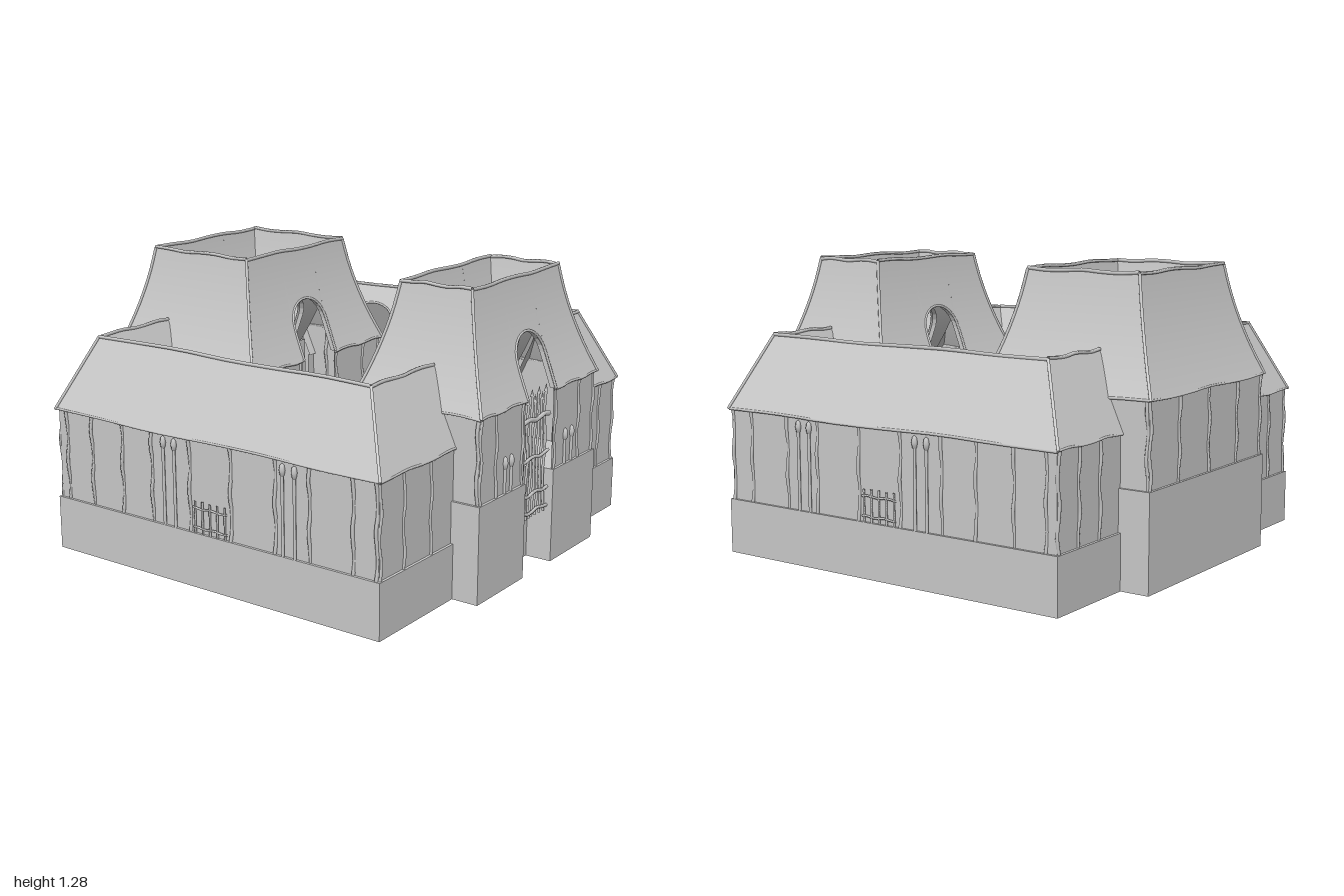
import * as THREE from 'three';
import { ParametricGeometry } from 'three/addons/geometries/ParametricGeometry.js';

const grey = new THREE.MeshStandardMaterial({ color: 0xcccccc, side: THREE.DoubleSide });
const V = (x, y, z) => new THREE.Vector3(x, y, z);
const FLOOR = 0.24, PLINTH = 0.42;

function add(parent, geometry, name, x = 0, y = 0, z = 0) {
  const mesh = new THREE.Mesh(geometry, grey);
  mesh.name = name;
  mesh.position.set(x, y, z);
  parent.add(mesh);
  return mesh;
}

// Round rod through a list of points
function rod(parent, name, points, r, sides = 6) {
  const curve = new THREE.CatmullRomCurve3(points);
  return add(parent, new THREE.TubeGeometry(curve, Math.max(4, points.length * 2), r, sides), name);
}

// Slightly crooked timber between two points
function timber(parent, name, a, b, r = 0.008, wobble = 0.005) {
  const seed = a.x * 37 + a.z * 53 + a.y * 11, pts = [];
  for (let i = 0; i <= 6; i++) {
    const p = a.clone().lerp(b, i / 6);
    const w = wobble * Math.sin(seed + i * 1.9);
    if (Math.abs(b.y - a.y) > 0.2) { p.x += w; p.z += w * 0.5; } else p.y += w;
    pts.push(p);
  }
  return rod(parent, name, pts, r, 5);
}

// Upright skirt that follows a plan outline
function skirt(parent, name, plan, y0, y1) {
  for (let i = 0; i < plan.length - 1; i++) {
    const [a, b] = [plan[i], plan[i + 1]];
    add(parent, new ParametricGeometry((u, v, t) => t.set(
      a[0] + (b[0] - a[0]) * u, y0 + (y1 - y0) * v, a[1] + (b[1] - a[1]) * u), 1, 1), name);
  }
}

function slab(parent, name, plan, y) {
  const shape = new THREE.Shape(plan.map(([x, z]) => new THREE.Vector2(x, -z)));
  add(parent, new THREE.ShapeGeometry(shape).rotateX(-Math.PI / 2), name, 0, y, 0);
}

// Four sides of a rectangle, each mapping (along, inset, height) to space
const sidesOf = ({ x0, x1, z0, z1 }) => ({
  front: { lo: x0, hi: x1, at: (u, d, y) => V(u, y, z1 - d) },
  back: { lo: x0, hi: x1, at: (u, d, y) => V(u, y, z0 + d) },
  left: { lo: z0, hi: z1, at: (u, d, y) => V(x1 - d, y, u) },
  right: { lo: z0, hi: z1, at: (u, d, y) => V(x0 + d, y, u) },
});

const archY = (o, u) => {
  const k = (2 * u - o.l - o.r) / (o.r - o.l);
  return o.spring + (o.top - o.spring) * Math.sqrt(Math.max(0, 1 - k * k));
};

// Wall or roof plane with mitred ends and openings; inset(y) gives its profile
function plane(parent, name, side, inset, y0, y1, openings, arched) {
  const piece = (left, right, base, slices) => add(parent, new ParametricGeometry((s, v, t) => {
    const uMid = left(0) + (right(0) - left(0)) * s;
    const b = base ? base(uMid) : y0;
    const y = b + (y1 - b) * v, d = inset(y);
    t.copy(side.at(left(d) + (right(d) - left(d)) * s, d, y));
  }, slices, 8), name);
  let left = (d) => side.lo + d;
  for (const o of openings) {
    piece(left, () => o.l, null, 1);
    if (arched && o.top) piece(() => o.l, () => o.r, (u) => archY(o, u), 16);
    left = () => o.r;
  }
  piece(left, (d) => side.hi - d, null, 1);
}

// Frame and reveal around an arched opening in a roof plane
function archFrame(parent, side, inset, y0, o, depth) {
  const path = [[o.l, y0]];
  for (let i = 0; i <= 12; i++) {
    const u = (o.l + o.r) / 2 - (o.r - o.l) / 2 * Math.cos(Math.PI * i / 12);
    path.push([u, archY(o, u)]);
  }
  path.push([o.r, y0]);
  add(parent, new ParametricGeometry((s, v, t) => {
    const [u, y] = path[Math.round(s * (path.length - 1))];
    t.copy(side.at(u, inset(y) + depth * v, y));
  }, path.length - 1, 1), 'archReveal');
  rod(parent, 'archFrame', path.map(([u, y]) => side.at(u, inset(y), y)), 0.006, 5);
}

// Ring-shaped building: outer and inner walls under a ridged roof
function ringBuilding(name, s) {
  const g = new THREE.Group();
  g.name = name;
  const bend = (y) => {
    const t = (y - s.eave) / (s.ridge - s.eave);
    return s.width * (t + s.curve * t * (1 - t));
  };
  const outer = bend, inner = (y) => 2 * s.width - bend(y);
  for (const [key, side] of Object.entries(sidesOf(s))) {
    const gaps = s.gaps?.[key] ?? [];
    const out = s.outerDoors?.[key] ?? gaps, inn = s.innerDoors?.[key] ?? gaps;
    plane(g, 'outerWall', side, () => 0.012, s.floor, s.eave, out, false);
    plane(g, 'innerWall', side, () => 2 * s.width - 0.012, s.floor, s.eave, inn, false);
    plane(g, 'outerRoof', side, outer, s.eave, s.ridge, out, true);
    plane(g, 'innerRoof', side, inner, s.eave, s.ridge, inn, true);
    out.filter((o) => o.top).forEach((o) => archFrame(g, side, outer, s.eave, o, 0.03));
    inn.filter((o) => o.top).forEach((o) => archFrame(g, side, inner, s.eave, o, -0.03));
    // ridge and eave beams, broken where the side has an opening
    const beams = (cuts, d, y, r) => {
      let u = side.lo + d;
      for (const o of [...cuts, { l: side.hi - d }]) {
        timber(g, 'roofBeam', side.at(u, d, y), side.at(o.l, d, y), r, 0.004);
        u = o.r;
      }
    };
    beams(gaps, s.width, s.ridge, 0.008);
    beams(out, 0.004, s.eave, 0.006);
    // hip beams at both ends of front and back
    if (key === 'front' || key === 'back') for (const end of [0, 1]) {
      rod(g, 'hipBeam', [0, 0.25, 0.5, 0.75, 1].map((t) => {
        const y = s.eave + t * (s.ridge - s.eave), d = outer(y);
        return side.at(end ? side.hi - d : side.lo + d, d, y);
      }), 0.007);
    }
    for (const u of s.posts[key]) {
      timber(g, 'wallPost', side.at(u, 0.012, s.floor), side.at(u, 0.012, s.eave));
    }
  }
  return g;
}

function spear(parent, x, z, y0, y1) {
  rod(parent, 'spearShaft', [V(x, y0, z), V(x, y1 - 0.05, z)], 0.007);
  const tip = add(parent, new THREE.SphereGeometry(0.013, 6, 4), 'spearTip', x, y1 - 0.03, z);
  tip.scale.y = 2.3;
}

export function createModel() {
  const root = new THREE.Group();
  root.name = 'walledCourtyard';
  const door = { l: -0.09, r: 0.15, spring: 0.93, top: 1.04 };
  const cut = [{ l: -0.4, r: 0.47 }];
  const bays = [-0.4, 0.01, 0.4].map((c) => ({ l: c - 0.12, r: c + 0.12, spring: 0.8, top: 0.875 }));
  const sidePosts = [-0.8, -0.65, -0.47, -0.3, -0.09, 0.13, 0.36, 0.53, 0.74, 0.85];

  // Wings around the courtyard
  root.add(ringBuilding('wings', {
    x0: -0.98, x1: 0.98, z0: -0.86, z1: 0.87, floor: FLOOR, eave: 0.64, ridge: 0.96, width: 0.145, curve: 0,
    gaps: { front: cut, back: cut }, innerDoors: { left: bays, right: bays },
    posts: { front: [-0.96, -0.8, -0.61, 0.67, 0.82, 0.96], back: [-0.96, -0.8, -0.61, 0.67, 0.82, 0.96],
      left: sidePosts, right: sidePosts },
  }));

  // Gatehouse and rear hall
  const tall = { x0: -0.46, x1: 0.53, floor: PLINTH, eave: 0.78, ridge: 1.265, width: 0.14, curve: 0.45 };
  const faces = [-0.44, -0.32, -0.11, 0.17, 0.38, 0.51];
  root.add(ringBuilding('gatehouse', { ...tall, z0: 0.37, z1: 0.99,
    outerDoors: { front: [door], back: [door] }, innerDoors: { front: [door], back: [door] },
    posts: { front: faces, back: faces, left: [0.39, 0.55, 0.97], right: [0.39, 0.55, 0.97] } }));
  root.add(ringBuilding('rearHall', { ...tall, z0: -0.99, z1: -0.17,
    outerDoors: { front: [door] }, innerDoors: { front: [door], back: [door] },
    posts: { front: faces, back: [-0.44, -0.22, 0.03, 0.28, 0.51],
      left: [-0.97, -0.5, -0.32, -0.19], right: [-0.97, -0.5, -0.32, -0.19] } }));

  // Hollow plinths and courtyard floor
  for (const [end, s] of [['left', 1], ['right', -1]]) {
    const t = s > 0 ? 0.53 : -0.46;
    skirt(root, end + 'WingBase', [[t, 0.87], [s * 0.98, 0.87], [s * 0.98, -0.86], [t, -0.86]], 0, FLOOR);
  }
  slab(root, 'courtyardFloor', [[-0.98, 0.87], [0.98, 0.87], [0.98, -0.86], [-0.98, -0.86]], FLOOR);
  for (const [name, zBack, zFront] of [['gatehouseBase', 0.37, 0.99], ['rearHallBase', -0.99, -0.17]]) {
    const n = zFront - 0.12;
    const plan = [[-0.46, zFront], [-0.09, zFront], [-0.09, n], [0.15, n], [0.15, zFront],
      [0.53, zFront], [0.53, zBack], [-0.46, zBack]];
    skirt(root, name, [...plan, plan[0]], 0, PLINTH);
    slab(root, name + 'Top', plan, PLINTH);
  }

  // Gate of crooked bars
  const gate = new THREE.Group();
  gate.name = 'gate';
  for (let i = 0; i < 8; i++) {
    const x = -0.075 + i * 0.03;
    timber(gate, 'gateBar', V(x, 0.23, 0.95), V(x, 0.74 + 0.03 * (i % 2), 0.95), 0.006, 0.004);
    add(gate, new THREE.ConeGeometry(0.009, 0.035, 5), 'gateSpike', x, 0.755 + 0.03 * (i % 2), 0.95);
  }
  for (const y of [0.26, 0.34, 0.5, 0.67]) {
    timber(gate, 'gateRail', V(-0.09, y, 0.96), V(0.15, y, 0.96), y === 0.67 ? 0.011 : 0.008, 0.006);
  }
  root.add(gate);

  // Spears against the walls and a low fence on each flank
  for (const x of [-0.25, -0.2, 0.26, 0.32]) spear(root, x, 0.982, PLINTH, 0.58);
  for (const x of [-0.975, 0.975]) {
    for (const z of [-0.23, -0.17, 0.4, 0.46]) spear(root, x, z, FLOOR, 0.63);
    for (let i = 0; i < 5; i++) {
      const z = -0.06 + i * 0.04;
      timber(root, 'fencePicket', V(x, FLOOR, z), V(x, 0.38, z), 0.005, 0.002);
    }
    for (const y of [0.265, 0.35]) timber(root, 'fenceRail', V(x, y, -0.07), V(x, y, 0.11), 0.005, 0.003);
  }

  // Courtyard furniture
  for (const x of [-0.18, 0.22]) {
    add(root, new THREE.CylinderGeometry(0.065, 0.055, 0.13, 8), 'barrel', x, FLOOR + 0.065, -0.1);
    for (let i = 0; i < 4; i++) {
      const a = i * 1.7 + x;
      timber(root, 'barrelStick', V(x + 0.02 * Math.cos(a), 0.3, -0.1 + 0.02 * Math.sin(a)),
        V(x + 0.05 * Math.cos(a), 0.48, -0.1 + 0.05 * Math.sin(a)), 0.005, 0.003);
    }
  }
  for (const x of [-0.395, 0.445]) {
    add(root, new THREE.BoxGeometry(0.13, 0.1, 0.13), 'crate', x, FLOOR + 0.05, 0.275);
  }
  add(root, new THREE.BoxGeometry(0.29, 0.09, 0.04), 'doorStep', 0.025, FLOOR + 0.045, 0.35);
  return root;
}
